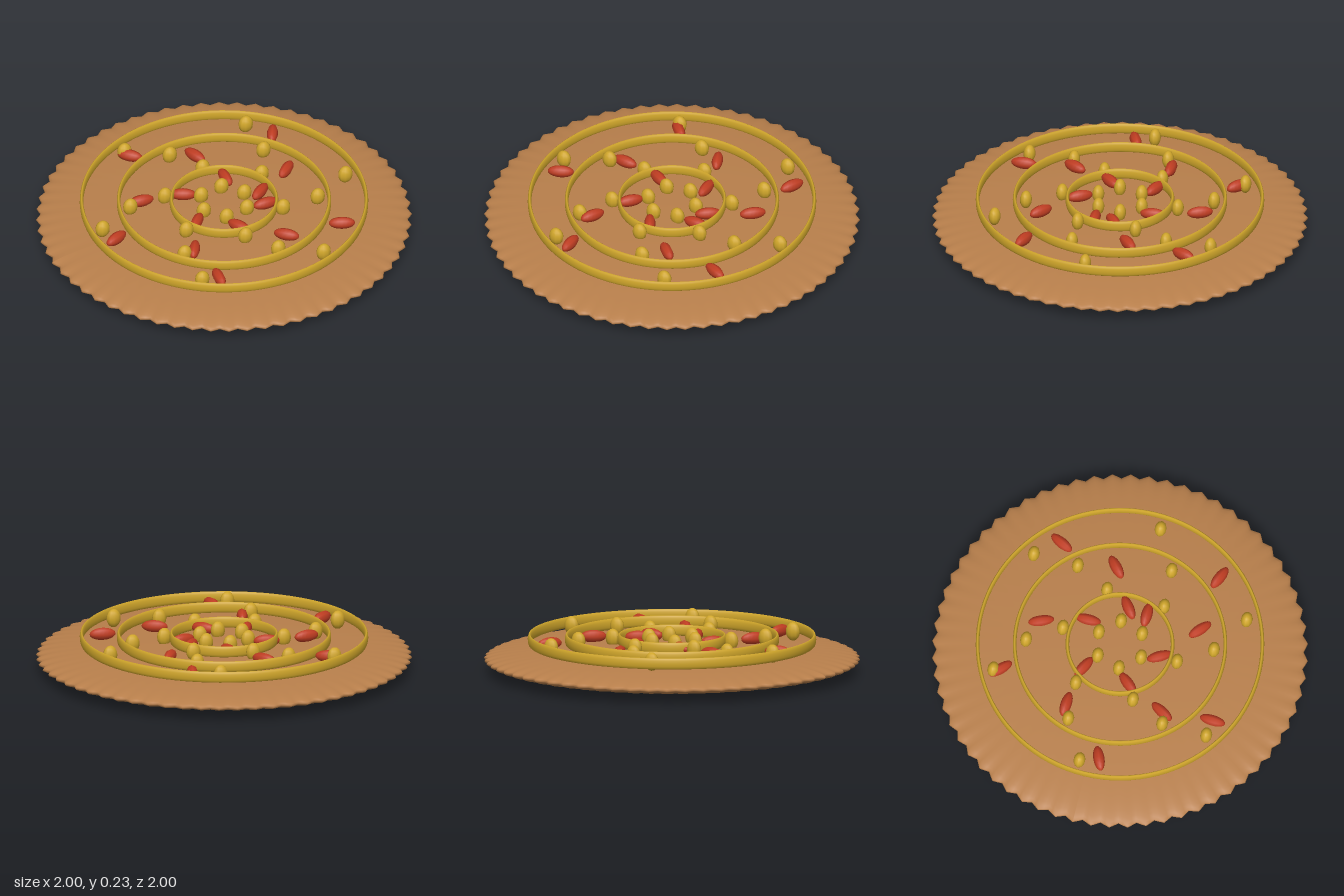
import * as THREE from 'three';

const mat = (name, color) => {
  const m = new THREE.MeshStandardMaterial({ color });
  m.name = name;
  return m;
};

export function createModel() {
  const group = new THREE.Group();
  const crust = mat('baked brown', 0xb87f4b);
  const gold = mat('golden yellow', 0xcfa52a);
  const red = mat('chilli red', 0xc03d22);

  const add = (name, geometry, material, x, y, z, turn = 0) => {
    const mesh = new THREE.Mesh(geometry, material);
    mesh.name = name;
    mesh.position.set(x, y, z);
    mesh.rotation.y = turn;
    group.add(mesh);
    return mesh;
  };

  // Flattened round base with a crimped rim: ripples fade towards the middle
  const base = new THREE.SphereGeometry(1, 256, 32);
  const p = base.attributes.position;
  for (let i = 0; i < p.count; i++) {
    const x = p.getX(i), z = p.getZ(i);
    const r = Math.hypot(x, z);
    const ripple = 0.988 + 0.012 * Math.cos(64 * Math.atan2(z, x)) * r ** 6;
    p.setXYZ(i, x * ripple, p.getY(i) * 0.076, z * ripple);
  }
  base.computeVertexNormals();
  add('base', base, crust, 0, 0.081, 0);

  // Three upright bands standing on the base
  for (const radius of [0.28, 0.56, 0.757]) {
    const ring = new THREE.TorusGeometry(radius, 0.01, 12, 96);
    ring.rotateX(Math.PI / 2).scale(1, 3, 1);
    add('ring', ring, gold, 0, 0.186, 0);
  }

  // Egg-shaped kernels, six to a circle: [radius, starting angle in degrees]
  const kernel = new THREE.SphereGeometry(1, 10, 8).scale(0.041, 0.05, 0.032);
  for (const [radius, start] of [[0.133, -12], [0.318, 33], [0.5, 18.8], [0.688, 3.7]]) {
    for (let i = 0; i < 6; i++) {
      const a = THREE.MathUtils.degToRad(start + i * 60);
      add('kernel', kernel, gold, radius * Math.cos(a), 0.185, radius * Math.sin(a));
    }
  }

  // Long red pieces scattered flat: [x, z, turn in degrees]
  const piece = new THREE.SphereGeometry(1, 8, 10).rotateZ(Math.PI / 2).scale(0.07, 0.034, 0.03);
  const pieces = [
    [-0.29, -0.58, -43], [0.027, -0.44, -67], [0.48, -0.445, 63], [-0.396, -0.193, -3],
    [-0.17, -0.155, -26], [0.096, -0.2, 90], [0.42, -0.13, 41], [-0.65, 0.053, 23],
    [0.215, -0.01, 36], [0.2, 0.095, 0], [-0.2, 0.095, 48], [-0.01, 0.22, -60],
    [-0.31, 0.31, 60], [0.19, 0.39, -41], [0.5, 0.417, -22], [-0.29, 0.583, 87],
  ];
  for (const [x, z, turn] of pieces) {
    add('redPiece', piece, red, x, 0.178, z, THREE.MathUtils.degToRad(turn));
  }

  return group;
}
